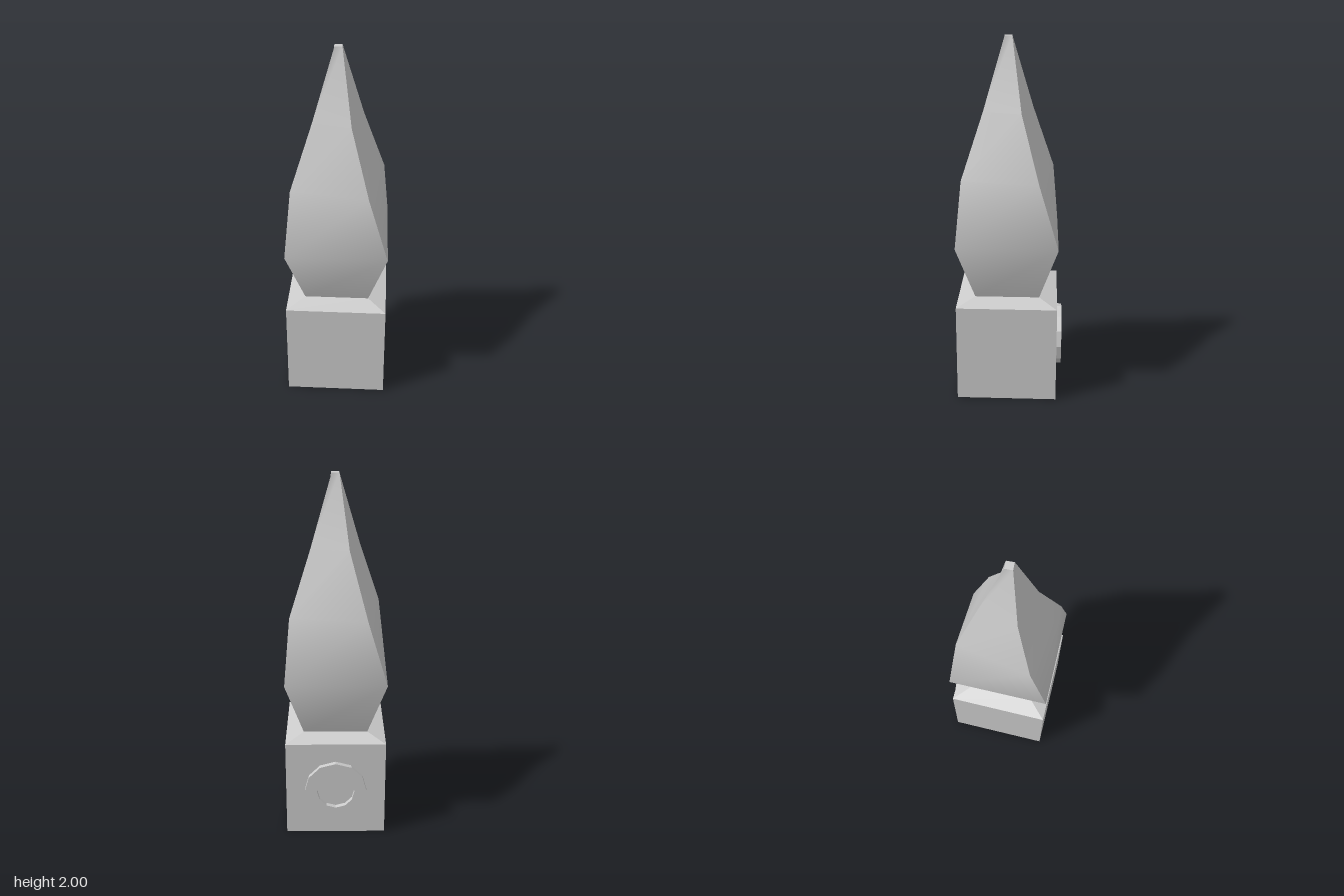
import * as THREE from 'three';
import { mergeGeometries } from 'three/addons/utils/BufferGeometryUtils.js';

const CENTRE_Z = 0.0135;
const rad = THREE.MathUtils.degToRad;

// Corner i of a square section { y, half, twist }
function corner({ y, half, twist = 0 }, i) {
  const a = rad(45 + 90 * i + twist);
  const r = half * Math.SQRT2;
  return [r * Math.cos(a), y, r * Math.sin(a)];
}

// Four side strips through square sections: smooth along each side, sharp at the ridges
function squareLoft(sections) {
  const sides = [0, 1, 2, 3].map((i) => {
    const positions = [];
    const index = [];
    sections.forEach((s, k) => {
      positions.push(...corner(s, i), ...corner(s, i + 1));
      if (k === 0) return;
      const a = 2 * k - 2, b = a + 1, d = a + 2, c = a + 3;
      index.push(b, a, d, b, d, c);
    });
    const g = new THREE.BufferGeometry();
    g.setAttribute('position', new THREE.Float32BufferAttribute(positions, 3));
    g.setIndex(index);
    g.computeVertexNormals();
    return g;
  });
  return mergeGeometries(sides);
}

// Horizontal square closing a section
function cap({ y, half, twist = 0 }, up) {
  return new THREE.PlaneGeometry(2 * half, 2 * half)
    .rotateX(up ? -Math.PI / 2 : Math.PI / 2)
    .rotateY(-rad(twist))
    .translate(0, y, 0);
}

export function createModel() {
  const model = new THREE.Group();
  const smooth = new THREE.MeshStandardMaterial({ color: 0xcccccc });
  const flat = new THREE.MeshStandardMaterial({ color: 0xcccccc, flatShading: true });

  const add = (name, geometry, material) => {
    const mesh = new THREE.Mesh(geometry, material);
    mesh.name = name;
    mesh.position.z = CENTRE_Z;
    model.add(mesh);
    return mesh;
  };

  // Cube base with a sloping shoulder
  const bottom = { y: 0, half: 0.278 };
  const rim = { y: 0.557, half: 0.278 };
  const neck = { y: 0.587, half: 0.178 };
  add('base', squareLoft([bottom, rim]), flat);
  add('baseBottom', cap(bottom, false), flat);
  add('shoulder', squareLoft([rim, neck]), flat);

  // Twisted flame-like spire
  const tip = { y: 2, half: 0.0205, twist: -3 };
  add('spire', squareLoft([
    neck,
    { y: 0.905, half: 0.278, twist: -0.4 },
    { y: 1.255, half: 0.2135, twist: 10 },
    { y: 1.61, half: 0.1075, twist: 15.5 },
    tip,
  ]), smooth);
  add('spireTip', cap(tip, true), flat);

  // Twelve-sided ring on the back of the base
  const polygon = (shape, r) => {
    const pts = [];
    for (let i = 0; i < 12; i++) {
      const a = (i * Math.PI) / 6;
      pts.push(new THREE.Vector2(r * Math.cos(a), r * Math.sin(a)));
    }
    return shape.setFromPoints(pts);
  };
  const ringShape = polygon(new THREE.Shape(), 0.173);
  ringShape.holes.push(polygon(new THREE.Path(), 0.105));
  const ring = add('backRing',
    new THREE.ExtrudeGeometry(ringShape, { depth: 0.029, bevelEnabled: false }), flat);
  ring.position.set(0, 0.278, -0.293);

  return model;
}
